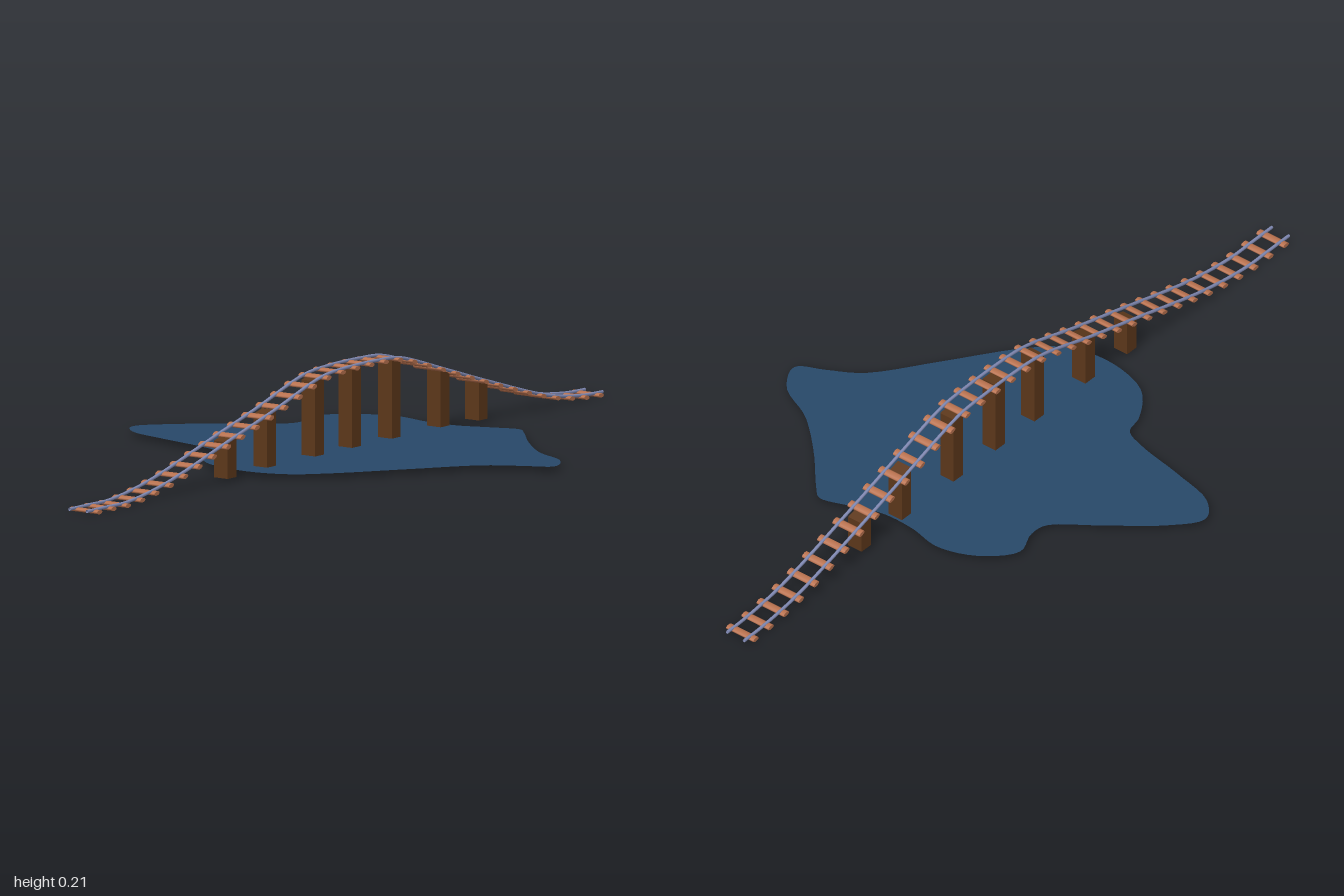
import * as THREE from 'three';

const material = (name, color, side = THREE.FrontSide) => {
  const m = new THREE.MeshStandardMaterial({ color, side });
  m.name = name;
  return m;
};

// Height of the sleeper centres along the track, as [z, y]
const profile = new THREE.CatmullRomCurve3([
  [-1, 0.005], [-0.93, 0.007], [-0.8, 0.024], [-0.545, 0.096], [-0.4, 0.141],
  [-0.21, 0.197], [-0.14, 0.202], [0, 0.202], [0.09, 0.194], [0.277, 0.14],
  [0.43, 0.099], [0.7, 0.027], [0.85, 0.005], [0.92, 0.005], [1, 0.005],
].map(([z, y]) => new THREE.Vector3(0, y, z))).getPoints(300);

function heightAt(z) {
  let i = 1;
  while (i < profile.length - 1 && profile[i].z < z) i++;
  const a = profile[i - 1], b = profile[i];
  return THREE.MathUtils.mapLinear(z, a.z, b.z, a.y, b.y);
}
const slopeAt = (z) => (heightAt(z + 0.01) - heightAt(z - 0.01)) / 0.02;
// The track drifts slightly sideways along its length
const centreAt = (z) => 0.01 + 0.005 * z;

export function createModel() {
  const model = new THREE.Group();
  model.name = 'railwayBridge';
  const steel = material('railSteel', 0x7f88b2, THREE.DoubleSide);
  const wood = material('sleeperWood', 0xb8714e);
  const timber = material('postTimber', 0x5c371a);
  const blue = material('waterBlue', 0x274869, THREE.DoubleSide);

  const add = (name, geometry, mat) => {
    const mesh = new THREE.Mesh(geometry, mat);
    mesh.name = name;
    model.add(mesh);
    return mesh;
  };

  // Rails: round bars following the track
  for (const side of [-1, 1]) {
    const points = [];
    for (let i = 0; i <= 60; i++) {
      const z = -1 + i / 30;
      points.push(new THREE.Vector3(centreAt(z) + side * 0.0255, heightAt(z) + 0.004, z));
    }
    const path = new THREE.CatmullRomCurve3(points);
    add(side > 0 ? 'leftRail' : 'rightRail', new THREE.TubeGeometry(path, 160, 0.004, 8), steel);
  }

  // Sleepers: flattened round logs, tilted with the slope
  const sleeper = new THREE.CylinderGeometry(0.01, 0.01, 0.082, 14);
  sleeper.rotateZ(Math.PI / 2);
  sleeper.scale(1, 0.5, 1);
  for (let i = 0; i < 36; i++) {
    const z = -0.975 + i * 0.0556;
    const mesh = add('sleeper', sleeper, wood);
    mesh.position.set(centreAt(z), heightAt(z), z);
    mesh.rotation.x = -Math.atan(slopeAt(z));
  }

  // Support posts, with tops cut to the slope of the track
  for (const z of [-0.545, -0.397, -0.207, -0.053, 0.09, 0.277, 0.43]) {
    const post = new THREE.BoxGeometry(0.04, 1, 0.034);
    const p = post.attributes.position;
    for (let i = 0; i < p.count; i++) {
      const pz = p.getZ(i) + z;
      p.setXYZ(i, p.getX(i) + centreAt(z), p.getY(i) > 0 ? heightAt(pz) - 0.001 : 0.007, pz);
    }
    post.computeVertexNormals();
    add('supportPost', post, timber);
  }

  // Pond: flat sheet with a wavy shore, outline as [x, z]
  const shore = [
    [0.19, -0.47], [0.22, -0.445], [0.31, -0.345], [0.415, -0.25], [0.515, -0.195],
    [0.553, -0.12], [0.49, -0.083], [0.413, -0.035], [0.307, 0.108], [0.192, 0.268],
    [0.122, 0.335], [0.013, 0.361], [-0.12, 0.326], [-0.188, 0.238], [-0.204, 0.185],
    [-0.26, 0.16], [-0.394, 0.13], [-0.51, 0.095], [-0.553, 0.037], [-0.5, -0.037],
    [-0.378, -0.138], [-0.283, -0.217], [-0.278, -0.265], [-0.3, -0.333],
    [-0.235, -0.407], [-0.14, -0.44], [-0.05, -0.423], [0.04, -0.423], [0.12, -0.45],
  ].map(([x, z]) => new THREE.Vector3(x, -z, 0));
  const outline = new THREE.CatmullRomCurve3(shore, true).getPoints(140).slice(0, -1);
  const shape = new THREE.Shape(outline.map((v) => new THREE.Vector2(v.x, v.y)));
  const water = new THREE.ShapeGeometry(shape);
  water.rotateX(-Math.PI / 2);
  water.translate(0, 0.012, 0);
  add('pond', water, blue);

  return model;
}
